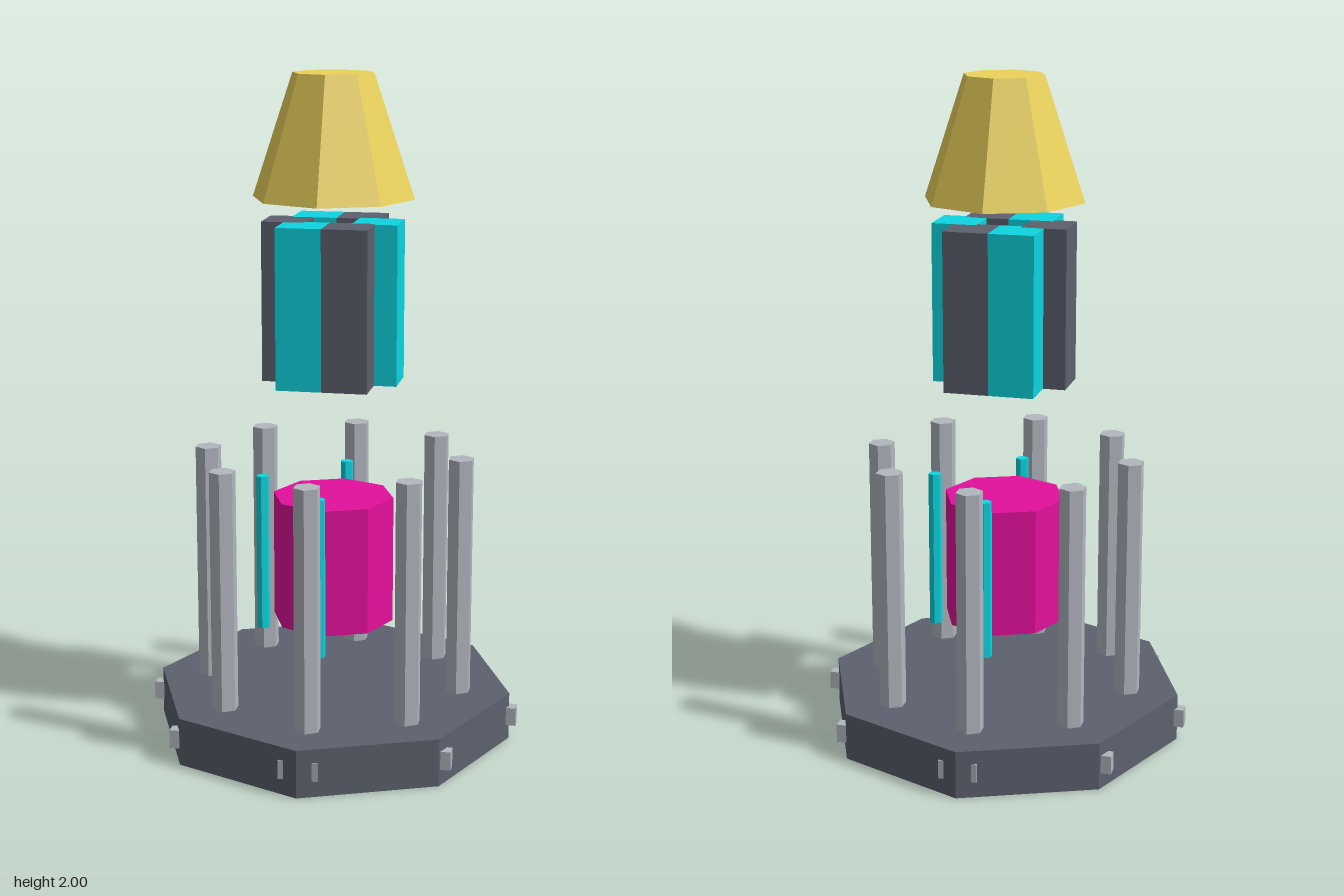
import * as THREE from 'three';

const mat = (color) => new THREE.MeshStandardMaterial({ color, flatShading: true });

export function createModel() {
  const model = new THREE.Group();
  const slate = mat(0x5c616e), steel = mat(0xb2b7bf), cyan = mat(0x0cd6e0);
  const pink = mat(0xe3109b), gold = mat(0xebd25b);

  const add = (parent, name, geometry, material, x, y, z) => {
    const mesh = new THREE.Mesh(geometry, material);
    mesh.name = name;
    mesh.position.set(x, y, z);
    parent.add(mesh);
  };

  // upright prism (or frustum) between two heights
  const prism = (rTop, rBottom, y0, y1, sides) =>
    new THREE.CylinderGeometry(rTop, rBottom, y1 - y0, sides).translate(0, (y0 + y1) / 2, 0);

  // unrotated copies spaced evenly on a circle
  const ring = (groupName, name, count, radius, geometry, materials) => {
    const group = new THREE.Group();
    group.name = groupName;
    for (let i = 0; i < count; i++) {
      const a = (i / count) * Math.PI * 2;
      add(group, name, geometry, materials[i % materials.length],
        Math.cos(a) * radius, 0, Math.sin(a) * radius);
    }
    model.add(group);
  };

  // octagonal base with small blocks poking out of its rim
  add(model, 'base', prism(0.545, 0.545, 0, 0.145, 8), slate, 0, 0, 0);
  ring('rimBlocks', 'rimBlock', 8, 0.51,
    new THREE.BoxGeometry(0.115, 0.056, 0.036).translate(0, 0.076, 0), [steel]);

  // hexagonal pillars standing on the base
  ring('pillars', 'pillar', 8, 0.387, prism(0.04, 0.04, 0.145, 0.875, 6), [steel]);

  // floating core with four rods around it
  add(model, 'core', prism(0.184, 0.184, 0.355, 0.742, 8), pink, 0, 0, 0);
  ring('rods', 'rod', 4, 0.219, prism(0.02, 0.02, 0.306, 0.79, 6), [cyan]);

  // ring of six blocks in alternating colours
  ring('upperBlocks', 'upperBlock', 6, 0.134,
    new THREE.BoxGeometry(0.134, 0.474, 0.134).translate(0, 1.337, 0), [cyan, slate]);

  // tapered cap
  add(model, 'cap', prism(0.12, 0.24, 1.64, 2, 8), gold, 0, 0, 0);

  return model;
}
